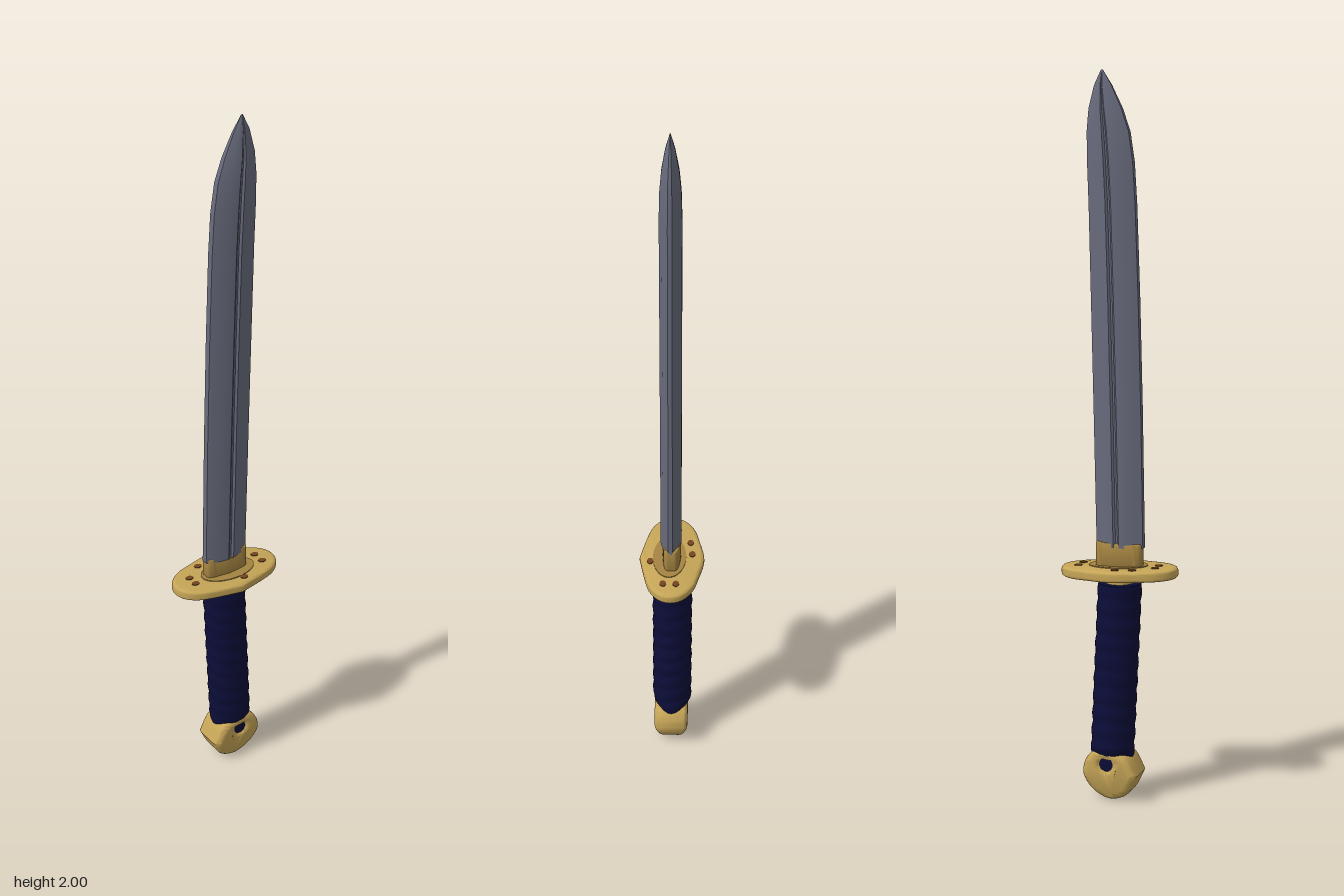
import * as THREE from 'three';
import { toCreasedNormals } from 'three/addons/utils/BufferGeometryUtils.js';

const flat = (name, color) => {
  const m = new THREE.MeshStandardMaterial({ color });
  m.name = name;
  return m;
};

// Closed skin through rings of [x, y, z] points, ordered from +x towards +z
function loft(rings, crease) {
  const n = rings[0].length, pos = rings.flat(2), idx = [];
  for (let i = 0; i < rings.length - 1; i++) {
    for (let j = 0; j < n; j++) {
      const a = i * n + j, b = i * n + (j + 1) % n;
      idx.push(a, a + n, b, b, a + n, b + n);
    }
  }
  const top = (rings.length - 1) * n;
  for (let j = 1; j < n - 1; j++) {
    idx.push(0, j, j + 1, top, top + j + 1, top + j);
  }
  const g = new THREE.BufferGeometry();
  g.setAttribute('position', new THREE.Float32BufferAttribute(pos, 3));
  g.setIndex(idx);
  return toCreasedNormals(g, crease);
}

const smoothOutline = (pts) => new THREE.Shape(
  new THREE.SplineCurve([...pts, pts[0]].map(p => new THREE.Vector2(...p))).getPoints(48).slice(0, -1));

// Rounded slab centred on its own thickness
function slab(shape, thickness, bevel) {
  const g = new THREE.ExtrudeGeometry(shape, {
    depth: thickness - 2 * bevel, bevelThickness: bevel, bevelSize: bevel,
    bevelOffset: -bevel, bevelSegments: 4, curveSegments: 24,
  });
  return g.translate(0, 0, -(thickness - 2 * bevel) / 2);
}

export function createModel() {
  const steel = flat('steel', 0x686b7c);
  const gold = flat('gold', 0xc6a557);
  const bronze = flat('dull gold', 0xa58442);
  const navy = flat('navy cord', 0x0b0d38);
  const brown = flat('brown patina', 0x74451f);

  const model = new THREE.Group();
  const add = (name, geo, mat, parent = model) => {
    const m = new THREE.Mesh(geo, mat);
    m.name = name;
    parent.add(m);
    return m;
  };

  // Blade: y, front z, back z, half thickness
  const bladeRows = [
    [0.72, 0.07, -0.066, 0.029], [1.1, 0.063, -0.074, 0.029], [1.4, 0.055, -0.081, 0.029],
    [1.65, 0.046, -0.087, 0.029], [1.76, 0.039, -0.091, 0.029], [1.84, 0.027, -0.092, 0.027],
    [1.9, 0.006, -0.087, 0.022], [1.96, -0.023, -0.072, 0.012], [2, -0.048, -0.053, 0.001],
  ];
  // Half section with a shallow groove: thickness share, position from back to front
  const half = [[0.2, 0], [0.72, 0.2], [1, 0.42], [0.82, 0.46], [0.82, 0.5], [1, 0.54], [0.85, 0.75], [0.3, 1]];
  const section = [...half, ...half.map(([t, s]) => [-t, s]).reverse()];
  add('blade', loft(bladeRows.map(([y, f, b, t]) =>
    section.map(([u, s]) => [u * t + 0.002, y, b + (f - b) * s])), 0.35), steel);

  // Collar holding the blade
  const collar = slab(smoothOutline([[0.026, 0], [0.018, 0.058], [0, 0.066], [-0.018, 0.058],
    [-0.026, 0], [-0.018, -0.058], [0, -0.066], [0.018, -0.058]]), 0.08, 0.004);
  collar.rotateX(-Math.PI / 2);
  add('bladeCollar', toCreasedNormals(collar, 0.6), bronze).position.y = 0.692;

  // Oval guard, tipped up slightly at the front
  const guard = new THREE.Group();
  guard.name = 'guard';
  guard.position.y = 0.651;
  guard.rotation.x = -0.045;
  model.add(guard);
  const plate = slab(smoothOutline([[0.091, 0], [0.076, 0.07], [0.061, 0.122], [0.035, 0.156],
    [0, 0.168], [-0.035, 0.156], [-0.063, 0.12], [-0.078, 0.07], [-0.092, 0],
    [-0.078, -0.07], [-0.063, -0.12], [-0.035, -0.156], [0, -0.168], [0.035, -0.156],
    [0.061, -0.122], [0.076, -0.07]]), 0.03, 0.011);
  plate.rotateX(-Math.PI / 2);
  add('guardPlate', toCreasedNormals(plate, 0.7), gold, guard);
  const seat = add('bladeSeat', new THREE.CylinderGeometry(1, 1, 0.004, 32), bronze, guard);
  seat.scale.set(0.047, 1, 0.085);
  seat.position.set(0.006, 0.0155, -0.005);

  // Worn spots on the guard
  for (const [x, z] of [[-0.015, -0.115], [0.021, -0.115], [0.06, -0.024], [-0.058, 0.008],
    [-0.052, 0.056], [-0.016, 0.11], [0.015, 0.11]]) {
    const spot = add('guardSpot', new THREE.CylinderGeometry(0.009, 0.009, 0.003, 12), brown, guard);
    spot.position.set(x, 0.0155, z);
    spot.scale.z = 1.3;
  }

  // Small ring under the guard
  const ferrule = add('ferrule', new THREE.CylinderGeometry(0.04, 0.04, 0.04, 24), gold);
  ferrule.position.y = 0.623;

  // Cord-wrapped grip, leaning back towards the pommel
  const gripRings = [];
  const steps = 60, sides = 24;
  for (let i = 0; i <= steps; i++) {
    const t = i / steps, y = 0.115 + 0.505 * t;
    const taper = Math.min(1, 0.72 + t * 4);
    const ring = [];
    for (let j = 0; j < sides; j++) {
      const a = j / sides * Math.PI * 2;
      const wrap = 1 + 0.06 * (Math.abs(Math.sin(t * Math.PI * 10 + Math.cos(a) * 0.8)) - 0.6);
      ring.push([
        -0.002 + 0.056 * taper * wrap * Math.cos(a), y,
        -0.021 + 0.023 * t + 0.061 * wrap * Math.sin(a),
      ]);
    }
    gripRings.push(ring);
  }
  add('grip', loft(gripRings, 0.6), navy);

  // Rounded pommel pierced from side to side
  const pommelShape = smoothOutline([[0.064, 0.078], [0.034, 0.13], [-0.01, 0.143], [-0.055, 0.143],
    [-0.088, 0.112], [-0.094, 0.065], [-0.065, 0.02], [-0.015, 0], [0.035, 0.022]]);
  pommelShape.holes.push(new THREE.Path().absarc(-0.024, 0.105, 0.014, 0, Math.PI * 2, true));
  const pommel = slab(pommelShape, 0.098, 0.018);
  pommel.rotateY(-Math.PI / 2);
  // Narrow the pommel towards its foot
  const p = pommel.attributes.position;
  for (let i = 0; i < p.count; i++) {
    p.setX(i, p.getX(i) * (0.7 + 0.3 * Math.min(1, p.getY(i) / 0.07)));
  }
  add('pommel', toCreasedNormals(pommel, 0.8), gold);
  const core = add('pommelHole', new THREE.CylinderGeometry(0.027, 0.027, 0.088, 24), navy);
  core.rotation.z = Math.PI / 2;
  core.position.set(0, 0.105, -0.024);

  return model;
}
